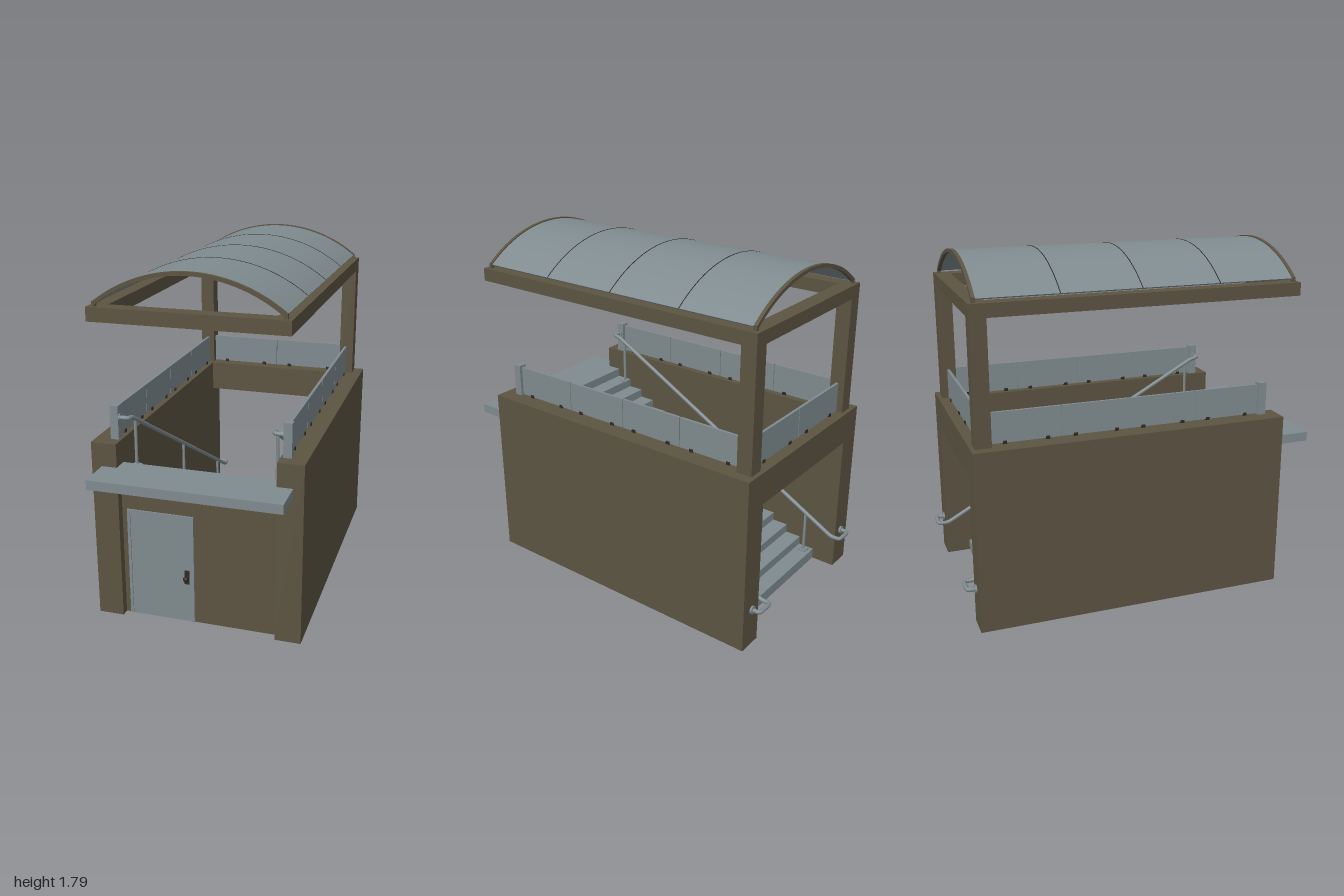
import * as THREE from 'three';
import { toCreasedNormals } from 'three/addons/utils/BufferGeometryUtils.js';

const material = (name, color, side = THREE.FrontSide) => {
  const m = new THREE.MeshStandardMaterial({ color, side });
  m.name = name;
  return m;
};

export function createModel() {
  const brown = material('brown concrete', 0x5c5442);
  const grey = material('blue grey metal', 0x7f8b8f);
  const dark = material('dark fittings', 0x2e2a22);

  const model = new THREE.Group();
  model.name = 'stairwayShelter';
  const body = new THREE.Group(); // local +z runs up the stairs, towards the door
  body.name = 'shelter';
  body.rotation.y = -0.82;
  body.position.set(0.05, 0, -0.045);
  model.add(body);

  const add = (name, geometry, mat) => {
    const mesh = new THREE.Mesh(geometry, mat);
    mesh.name = name;
    body.add(mesh);
    return mesh;
  };
  // Box given by its limits on each axis
  const box = (name, mat, x0, x1, y0, y1, z0, z1) => {
    const g = new THREE.BoxGeometry(x1 - x0, y1 - y0, z1 - z0);
    g.translate((x0 + x1) / 2, (y0 + y1) / 2, (z0 + z1) / 2);
    return add(name, g, mat);
  };
  // The same box on both sides
  const pair = (name, mat, x0, x1, ...rest) => {
    box(name + 'Left', mat, x0, x1, ...rest);
    box(name + 'Right', mat, -x1, -x0, ...rest);
  };

  // Walls, back lintel and door wall
  const inner = 0.397, outer = 0.527, back = -0.807, front = 0.807;
  pair('sideWall', brown, inner, outer, 0, 0.93, back, front);
  box('backLintel', brown, -inner, inner, 0.763, 0.93, back, -0.68);
  box('doorWall', brown, -inner, inner, 0, 0.762, 0.71, 0.765);

  // Stairs and landing
  const rise = 0.047, run = 0.088;
  for (let i = 0; i < 16; i++) {
    const top = 0.058 + rise * i, z = -0.68 + run * i;
    box('step', grey, -inner, inner, top - 0.058, top, z, z + run + 0.012);
  }
  box('landing', grey, -inner, inner, 0.762, 0.81, 0.728, front);
  box('landingSlab', grey, -0.475, 0.475, 0.762, 0.81, front, 0.987);

  // Door with frame on both faces of its wall, and handle
  const d0 = -0.37, d1 = -0.025, dh = 0.58;
  box('door', grey, d0 + 0.015, d1 - 0.015, 0, dh - 0.015, 0.764, 0.768);
  for (const [z0, z1] of [[0.764, 0.773], [0.703, 0.711]]) {
    box('doorFrameSide', grey, d0, d0 + 0.015, 0, dh, z0, z1);
    box('doorFrameSide', grey, d1 - 0.015, d1, 0, dh, z0, z1);
    box('doorFrameTop', grey, d0 + 0.015, d1 - 0.015, dh - 0.015, dh, z0, z1);
  }
  box('handlePlate', dark, -0.075, -0.05, 0.21, 0.285, 0.767, 0.772);
  const knob = add('doorKnob', new THREE.SphereGeometry(0.014, 16, 10), dark);
  knob.position.set(-0.064, 0.245, 0.785);

  // Parapet panels with end posts and clips
  const px = 0.43, gap = 0.002;
  const z0 = -0.705, z1 = 0.70, len = (z1 - z0) / 4;
  for (let i = 0; i < 4; i++) {
    const a = z0 + i * len, b = a + len;
    pair('parapetPanel', grey, px - 0.007, px + 0.007, 0.935, 1.09, a + gap, b - gap);
    for (const t of [0.2, 0.8]) {
      const c = a + len * t;
      pair('panelClip', dark, px - 0.012, px + 0.012, 0.93, 0.945, c - 0.01, c + 0.01);
    }
  }
  pair('parapetEndPost', grey, px - 0.021, px + 0.021, 0.93, 1.1, 0.7, 0.742);
  pair('backPanel', grey, gap, inner, 0.935, 1.09, -0.752, -0.738);
  for (const c of [0.08, 0.32]) {
    pair('backPanelClip', dark, c - 0.01, c + 0.01, 0.93, 0.945, -0.757, -0.733);
  }

  // Roof posts and ring of roof beams
  const rx = 0.475, rb = -0.785, rf = 0.893;
  pair('roofPost', brown, inner, rx, 0.93, 1.545, rb, rb + 0.08);
  pair('roofBeam', brown, inner, rx, 1.545, 1.612, rb, rf);
  box('roofBeamBack', brown, -inner, inner, 1.545, 1.612, rb, rb + 0.08);
  box('roofBeamFront', brown, -inner, inner, 1.545, 1.612, rf - 0.08, rf);

  // Vaulted roof, thin seams and end arches
  const R = 0.722, cy = 1.785 - R, half = Math.asin(0.447 / R);
  const arch = (name, mat, r, thickness, a, b) => {
    const s = new THREE.Shape();
    s.absarc(0, cy, r, Math.PI / 2 - half, Math.PI / 2 + half, false);
    s.absarc(0, cy, r - thickness, Math.PI / 2 + half, Math.PI / 2 - half, true);
    const g = new THREE.ExtrudeGeometry(s, { depth: b - a, bevelEnabled: false, curveSegments: 32 });
    g.translate(0, 0, a);
    add(name, toCreasedNormals(g, 0.5), mat);
  };
  const vb = -0.757, vf = 0.865;
  arch('roofVault', grey, R, 0.008, vb, vf);
  for (let i = 1; i < 4; i++) {
    const z = vb + (vf - vb) * i / 4;
    arch('roofSeam', dark, R + 0.0015, 0.003, z - 0.002, z + 0.002);
  }
  for (const z of [vb, vf]) {
    arch('endArch', brown, R + 0.005, 0.018, z - 0.009, z + 0.009);
    pair('archFoot', brown, 0.436, 0.452, 1.61, 1.636, z - 0.009, z + 0.009);
  }

  // Handrails: bent tubes following the stairs, with supports and flanges
  const bentPath = (pts, r) => {
    const path = new THREE.CurvePath();
    let from = pts[0];
    for (let i = 1; i < pts.length - 1; i++) {
      const p = pts[i];
      const near = (q) => p.clone().add(q.clone().sub(p).setLength(r));
      const a = near(pts[i - 1]), b = near(pts[i + 1]);
      path.add(new THREE.LineCurve3(from, a));
      path.add(new THREE.QuadraticBezierCurve3(a, p, b));
      from = b;
    }
    path.add(new THREE.LineCurve3(from, pts[pts.length - 1]));
    return path;
  };
  const railY = (z) => 0.205 + (z + 0.83) * 0.546;
  for (const s of [1, -1]) {
    const v = (x, y, z) => new THREE.Vector3(s * x, y, z);
    const rail = bentPath([
      v(0.455, 0.205, back), v(0.455, 0.205, -0.853), v(0.36, 0.205, -0.853),
      v(0.36, 0.205, -0.80), v(0.36, railY(0.69), 0.66 + 0.03),
      v(0.36, 1.04, 0.728), v(0.42, 1.04, 0.728),
    ], 0.018);
    add('handrail', new THREE.TubeGeometry(rail, 180, 0.011, 10), grey);
    for (const [z, foot] of [[-0.638, 0.058], [-0.02, 0.387], [0.649, 0.763]]) {
      const h = railY(z) - foot - 0.008;
      const post = add('railSupport', new THREE.CylinderGeometry(0.008, 0.008, h, 10), grey);
      post.position.set(s * 0.36, foot + h / 2, z);
      const plate = add('supportPlate', new THREE.BoxGeometry(0.045, 0.008, 0.045), grey);
      plate.position.set(s * 0.36, foot + 0.004, z);
    }
    const flange = add('railFlange', new THREE.CylinderGeometry(0.021, 0.021, 0.01, 16), grey);
    flange.rotation.x = Math.PI / 2;
    flange.position.set(s * 0.455, 0.205, back - 0.005);
    const topFlange = add('railTopFlange', new THREE.CylinderGeometry(0.018, 0.018, 0.008, 16), grey);
    topFlange.rotation.z = Math.PI / 2;
    topFlange.position.set(s * 0.406, 1.04, 0.724);
  }
  return model;
}
